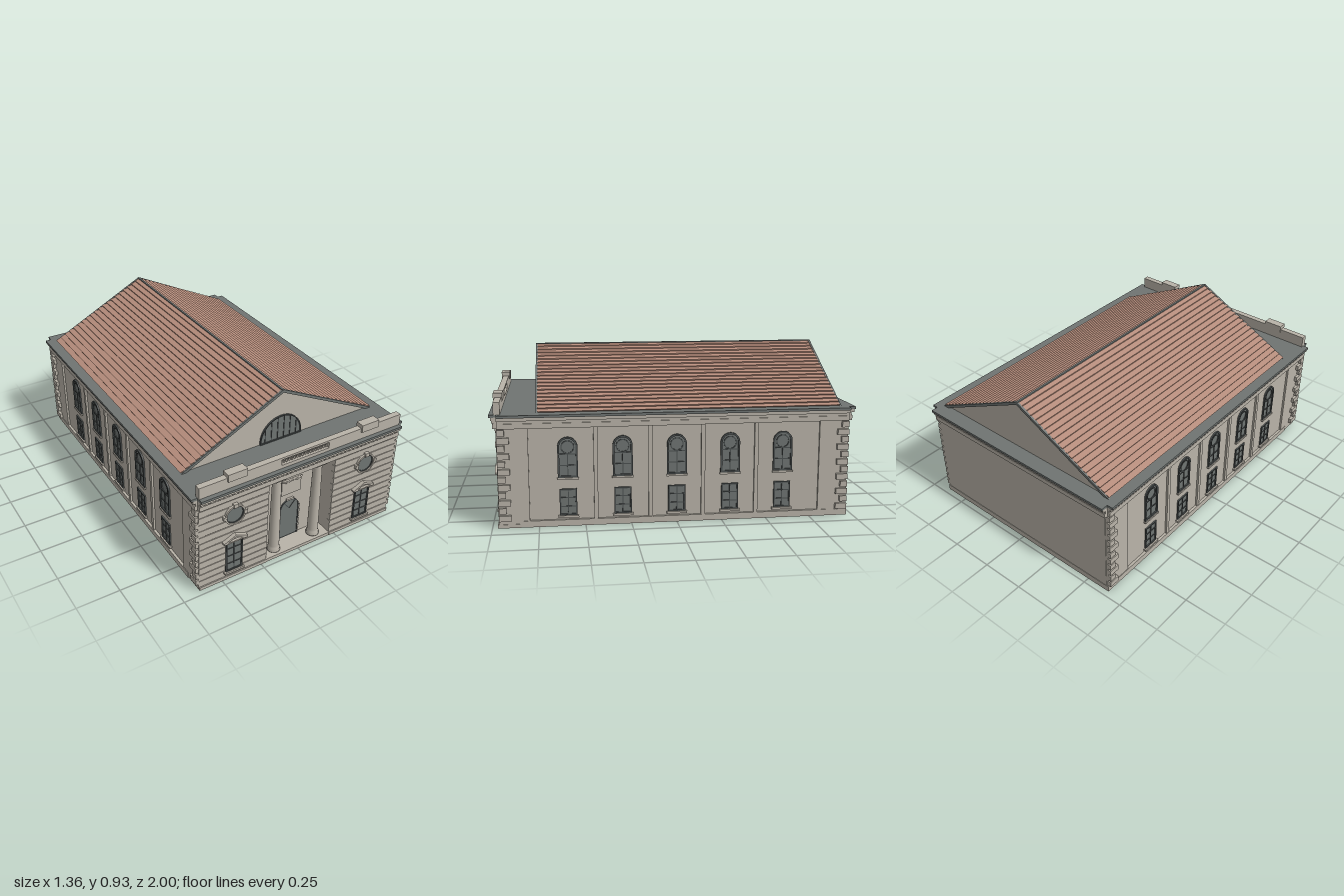
import * as THREE from 'three';

const flat = (name, color) => Object.assign(new THREE.MeshStandardMaterial({ color }), { name });
const stone = flat('stone', 0xb9b3a8);
const slate = flat('slate grey', 0x6f7472);
const tile = flat('roof tile', 0xb68d7c);
const iron = flat('dark frame', 0x4b5050);

function add(parent, name, geo, mat, x = 0, y = 0, z = 0) {
  const m = new THREE.Mesh(geo, mat);
  m.name = name;
  m.position.set(x, y, z);
  parent.add(m);
  return m;
}
// Box given by its limits on each axis
function block(parent, name, mat, x0, x1, y0, y1, z0, z1) {
  return add(parent, name, new THREE.BoxGeometry(x1 - x0, y1 - y0, z1 - z0), mat,
    (x0 + x1) / 2, (y0 + y1) / 2, (z0 + z1) / 2);
}
const poly = pts => new THREE.Shape(pts.map(p => new THREE.Vector2(p[0], p[1])));
const rect = (w, y0, y1) => poly([[-w, y0], [w, y0], [w, y1], [-w, y1]]);
function arch(w, y0, spring) {
  const s = new THREE.Shape();
  s.moveTo(-w, y0).lineTo(w, y0).lineTo(w, spring);
  s.absarc(0, spring, w, 0, Math.PI, false);
  return s;
}
const disc = (r, y = 0) => new THREE.Shape().absarc(0, y, r, 0, Math.PI * 2, false);
const plate = (shape, depth) => new THREE.ExtrudeGeometry(shape, { depth, bevelEnabled: false, curveSegments: 20 });
function ring(outer, inner, depth) {
  outer.holes.push(inner);
  return plate(outer, depth);
}
// Thin straight bar between two points in the local xy plane
function bar(parent, x0, y0, x1, y1, w = 0.005, d = 0.006, z = 0.003) {
  const m = add(parent, 'glazingBar', new THREE.BoxGeometry(Math.hypot(x1 - x0, y1 - y0), w, d), iron,
    (x0 + x1) / 2, (y0 + y1) / 2, z);
  m.rotation.z = Math.atan2(y1 - y0, x1 - x0);
}
function group(parent, name, x, y, z, ry = 0) {
  const g = new THREE.Group();
  g.name = name;
  g.position.set(x, y, z);
  g.rotation.y = ry;
  parent.add(g);
  return g;
}

// Rectangular sash window with a dark frame
function sash(g, w, y0, y1, rows) {
  add(g, 'glass', plate(rect(w, y0, y1), 0.002), slate);
  add(g, 'frame', ring(rect(w, y0, y1), rect(w - 0.008, y0 + 0.008, y1 - 0.008), 0.008), iron);
  bar(g, 0, y0, 0, y1);
  for (let i = 1; i < rows; i++) bar(g, -w, y0 + (y1 - y0) * i / rows, w, y0 + (y1 - y0) * i / rows);
  block(g, 'sill', stone, -w - 0.009, w + 0.009, y0 - 0.012, y0, -0.002, 0.016);
}

function buildSide(root, s) {
  const side = group(root, s > 0 ? 'leftSide' : 'rightSide', s * 0.63, 0, 0, s * Math.PI / 2);
  for (const z of [-0.81, -0.442, -0.145, 0.145, 0.442, 0.81])
    block(side, 'pilaster', stone, z - 0.011, z + 0.011, 0.03, 0.545, -0.005, 0.012);
  for (let i = -2; i <= 2; i++) {
    const g = group(side, 'windowBay', i * 0.296, 0, 0);
    add(g, 'archedGlass', plate(arch(0.052, 0.27, 0.437), 0.002), slate);
    add(g, 'archedFrame', ring(arch(0.054, 0.268, 0.437), arch(0.044, 0.278, 0.437), 0.009), iron);
    add(g, 'roundel', ring(disc(0.037, 0.434), disc(0.031, 0.434), 0.006), iron);
    bar(g, 0, 0.27, 0, 0.4);
    bar(g, -0.05, 0.397, 0.05, 0.397);
    bar(g, -0.05, 0.335, 0.05, 0.335);
    block(g, 'sill', stone, -0.058, 0.058, 0.258, 0.268, -0.002, 0.014);
    sash(g, 0.047, 0.058, 0.205, 3);
  }
  // Corner masses and alternating quoins
  for (const e of [-1, 1]) {
    const [a, b] = e > 0 ? [0.82, 0.962] : [-0.962, -0.82];
    block(root, 'cornerMass', stone, s * 0.62 - 0.022, s * 0.62 + 0.022, 0.01, 0.58, a, b);
    for (let i = 0; i < 12; i++) {
      const len = i % 2 ? 0.04 : 0.064, y = 0.04 + i * 0.0425, zc = e * (0.962 - len / 2);
      block(root, 'quoin', stone, s * 0.642 - 0.017, s * 0.642 + 0.017, y, y + 0.032, zc - len / 2, zc + len / 2);
    }
  }
}

function buildWing(root, s) {
  const wing = group(root, s > 0 ? 'leftWing' : 'rightWing', s * 0.428, 0, 0);
  block(wing, 'wingWall', stone, -0.212, 0.212, 0, 0.6, 0.85, 0.958);
  block(wing, 'wingPlinth', stone, -0.212, 0.217, 0, 0.02, 0.85, 0.97);
  for (let i = 0; i < 12; i++) // rusticated courses
    block(wing, 'course', stone, -0.213, 0.213, 0.022 + i * 0.0425, 0.06 + i * 0.0425, 0.94, 0.965);

  // Sash window with pediment
  const win = group(wing, 'frontWindow', 0, 0, 0.965);
  sash(win, 0.052, 0.056, 0.262, 4);
  add(win, 'pedimentPanel', plate(poly([[-0.06, 0.266], [0.06, 0.266], [0, 0.297]]), 0.008), stone);
  add(win, 'pediment', ring(poly([[-0.073, 0.262], [0.073, 0.262], [0.073, 0.272], [0, 0.306], [-0.073, 0.272]]),
    poly([[-0.05, 0.27], [0.05, 0.27], [0, 0.294]]), 0.022), stone);

  // Round window with keystones
  const eye = group(wing, 'roundWindow', 0, 0.432, 0.965);
  add(eye, 'roundGlass', plate(disc(0.052), 0.002), slate);
  add(eye, 'innerRing', ring(disc(0.054), disc(0.049), 0.007), iron);
  add(eye, 'surround', ring(disc(0.062), disc(0.053), 0.013), stone);
  block(eye, 'keystone', stone, -0.013, 0.013, 0.05, 0.073, 0, 0.018);
  for (const k of [-1, 1]) block(eye, 'sideStone', stone, k * 0.063 - 0.009, k * 0.063 + 0.009, -0.012, 0.012, 0, 0.016);

  // Column standing in the recess
  const prof = [[0, 0.02], [0.037, 0.02], [0.037, 0.03], [0.034, 0.033], [0.036, 0.04], [0.031, 0.047], [0.031, 0.06],
    [0.03, 0.2], [0.0255, 0.49], [0.028, 0.495], [0.0255, 0.5], [0.026, 0.506], [0.034, 0.515], [0, 0.515]];
  const pts = prof.map(p => new THREE.Vector2(p[0], p[1]));
  add(root, 'column', new THREE.LatheGeometry(pts, 24), stone, s * 0.134, 0, 0.917);
  block(root, 'columnCapital', stone, s * 0.134 - 0.036, s * 0.134 + 0.036, 0.514, 0.531, 0.881, 0.953);

  // Parapet wall and raised block
  const mid = s * 0.3975;
  block(root, 'parapet', stone, mid - 0.2455, mid + 0.2455, 0.618, 0.687, 0.94, 0.975);
  block(root, 'parapetBlock', stone, s * 0.423 - 0.057, s * 0.423 + 0.057, 0.665, 0.71, 0.934, 0.984);
}

function buildPorch(root) {
  block(root, 'porchFloor', stone, -0.22, 0.22, 0, 0.02, 0.85, 0.968);
  block(root, 'porchLintel', stone, -0.22, 0.22, 0.53, 0.6, 0.85, 0.963);
  const door = group(root, 'doorway', 0, 0, 0.86);
  add(door, 'door', plate(arch(0.061, 0.02, 0.218), 0.004), slate);
  add(door, 'doorFrame', ring(arch(0.063, 0.02, 0.218), arch(0.058, 0.02, 0.218), 0.008), iron);
  bar(door, 0, 0.218, -0.036, 0.262);
  bar(door, 0, 0.218, 0.036, 0.262);
  for (const s of [-1, 1])
    for (let i = 0; i < 6; i++)
      block(door, 'jambStone', stone, s * 0.066 - 0.004, s * 0.066 + 0.004, 0.03 + i * 0.034, 0.052 + i * 0.034, 0, 0.008);
  block(door, 'keystone', stone, -0.024, 0.024, 0.279, 0.289, 0, 0.012);
  block(door, 'tablet', stone, -0.064, 0.064, 0.328, 0.42, 0, 0.012);
  // Draped swag over the tablet
  const swag = [[-0.07, 0.425], [-0.035, 0.413], [0, 0.42], [0.035, 0.413], [0.07, 0.425]]
    .map(p => new THREE.Vector3(p[0], p[1], 0.012));
  add(door, 'swag', new THREE.TubeGeometry(new THREE.CatmullRomCurve3(swag), 24, 0.005, 6), stone);

  // Balustrade between the parapets
  block(root, 'balustradeBase', stone, -0.153, 0.153, 0.618, 0.64, 0.94, 0.975);
  block(root, 'balustradeRail', stone, -0.153, 0.153, 0.675, 0.687, 0.94, 0.975);
  const b = [[0.004, 0], [0.0065, 0.01], [0.004, 0.018], [0.0065, 0.026], [0.004, 0.036]].map(p => new THREE.Vector2(...p));
  for (let i = 0; i < 18; i++)
    add(root, 'baluster', new THREE.LatheGeometry(b, 8), stone, -0.1445 + i * 0.017, 0.6395, 0.958);
}

// Cornice layer with notched corners, overhanging by o
function corniceLayer(root, name, mat, y0, y1, o) {
  const X = 0.643 + o, Z = 0.965 + o, x = 0.643, z = 0.96;
  const geo = plate(poly([[x, -Z], [x, -z], [X, -z], [X, z], [x, z], [x, Z], [-x, Z], [-x, z], [-X, z], [-X, -z], [-x, -z], [-x, -Z]]), y1 - y0);
  add(root, name, geo.rotateX(-Math.PI / 2), mat, 0, y0, 0);
}

function buildRoof(root) {
  const E = [0.618, 0.621], H = 0.925, N = 20;
  // Stepped tile courses, half a profile mirrored
  const half = [];
  for (let i = 0; i < N; i++)
    for (const [t, lift] of [[i / N, 0.008], [(i + 1) / N, 0.001]])
      half.push([E[0] * (1 - t) + lift * 0.447 * (1 - t), E[1] + (H - E[1]) * t + lift * 0.894]);
  const mirrored = half.slice(0, -1).reverse().map(p => [-p[0], p[1]]);
  add(root, 'tiledRoof', plate(poly([[0.6, 0.619], ...half, ...mirrored, [-0.6, 0.619], [0, 0.912]]), 1.665), tile, 0, 0, -0.917);
  add(root, 'gable', plate(poly([[-0.612, 0.615], [0.612, 0.615], [0, 0.919]]), 1.655), stone, 0, 0, -0.912);
  for (const z of [-0.925, 0.743])
    add(root, 'gableTrim', plate(poly([[0.625, 0.619], [0, 0.932], [-0.625, 0.619], [-0.59, 0.619], [0, 0.914], [0.59, 0.619]]), 0.012), slate, 0, 0, z);
  block(root, 'ridgeCap', slate, -0.006, 0.006, 0.92, 0.931, -0.92, 0.75);

  // Half-round window in the front gable
  const fan = group(root, 'gableWindow', 0, 0, 0.743);
  add(fan, 'gableGlass', plate(arch(0.131, 0.62, 0.636), 0.003), slate);
  add(fan, 'gableFrame', ring(arch(0.133, 0.62, 0.636), arch(0.127, 0.626, 0.636), 0.009), iron);
  for (const x of [-0.1, -0.06, -0.02, 0.02, 0.06, 0.1])
    bar(fan, x, 0.625, x, 0.636 + Math.sqrt(0.129 ** 2 - x * x), 0.005);
}

export function createModel() {
  const root = new THREE.Group();
  root.name = 'hall';
  block(root, 'mainWalls', stone, -0.63, 0.63, 0, 0.6, -0.965, 0.86);
  block(root, 'plinth', stone, -0.645, 0.645, 0, 0.035, -0.967, 0.855);
  for (const s of [-1, 1]) {
    buildSide(root, s);
    buildWing(root, s);
  }
  buildPorch(root);
  corniceLayer(root, 'architrave', stone, 0.545, 0.572, 0.016);
  corniceLayer(root, 'frieze', stone, 0.572, 0.588, 0.01);
  corniceLayer(root, 'cornice', stone, 0.588, 0.606, 0.026);
  corniceLayer(root, 'roofDeck', slate, 0.606, 0.62, 0.035);
  for (let i = 0; i < 47; i++)
    block(root, 'dentil', stone, -0.637 + i * 0.0273, -0.619 + i * 0.0273, 0.575, 0.589, 0.97, 0.986);
  buildRoof(root);
  return root;
}
